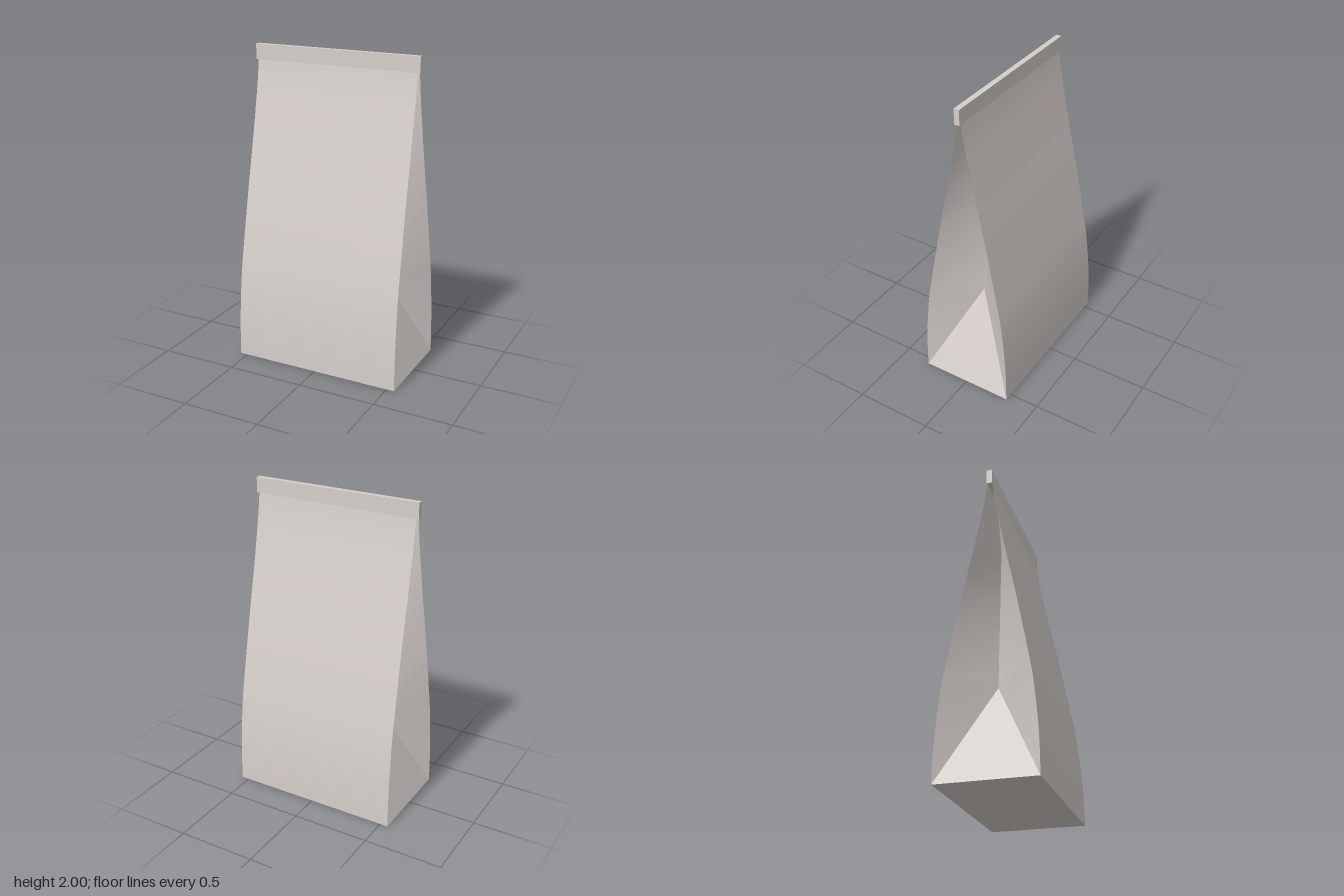
import * as THREE from 'three';
import { toCreasedNormals } from 'three/addons/utils/BufferGeometryUtils.js';

const FOLD_Y = 0.62;   // height of the gusset's fold point
const FOLD_IN = 0.23;  // how far that point is pushed in
const TOP_Y = 1.95;
const DEPTH = 0.305;

// half depth of the bag, every 0.2 units of height
const depthCurve = new THREE.SplineCurve(
  [0.305, 0.301, 0.287, 0.264, 0.228, 0.19, 0.15, 0.107, 0.067, 0.03, 0.006]
    .map((z, i) => new THREE.Vector2(z, i * 0.2)));

// eight points around the bag at height y, anticlockwise from above
function ring(y) {
  const low = Math.min(y / FOLD_Y, 1);
  const high = Math.max((y - FOLD_Y) / (TOP_Y - FOLD_Y), 0);
  const x = 0.55 - 0.018 * THREE.MathUtils.smoothstep(y, 0, 1.9);
  const z = depthCurve.getPoint(y / 2).x;
  const foldX = 0.55 - FOLD_IN * low - 0.06 * high;
  const foldZ = DEPTH * (1 - low);
  return [[-x, z], [x, z], [foldX, foldZ], [foldX, -foldZ],
    [x, -z], [-x, -z], [-foldX, -foldZ], [-foldX, foldZ]]
    .map(([px, pz]) => new THREE.Vector3(px, y, pz));
}

function bagGeometry() {
  const positions = [];
  const tri = (a, b, c) => {
    // skip triangles that collapse where folds meet
    if (new THREE.Triangle(a, b, c).getArea() < 1e-7) return;
    for (const p of [a, b, c]) positions.push(p.x, p.y, p.z);
  };

  const rings = [];
  for (let i = 0; i < 10; i++) rings.push(ring(FOLD_Y * i / 10));
  for (let i = 0; i <= 20; i++) rings.push(ring(FOLD_Y + (TOP_Y - FOLD_Y) * i / 20));

  // walls and gussets
  for (let i = 0; i < rings.length - 1; i++) {
    for (let k = 0; k < 8; k++) {
      const n = (k + 1) % 8;
      const [a, b, c, d] = [rings[i][k], rings[i][n], rings[i + 1][n], rings[i + 1][k]];
      tri(a, b, c);
      tri(a, c, d);
    }
  }
  // flat base
  const base = rings[0];
  tri(base[0], base[4], base[1]);
  tri(base[0], base[5], base[4]);

  const geometry = new THREE.BufferGeometry();
  geometry.setAttribute('position', new THREE.Float32BufferAttribute(positions, 3));
  return toCreasedNormals(geometry, 0.6);
}

export function createModel() {
  const group = new THREE.Group();
  group.name = 'paperBag';
  const paper = new THREE.MeshStandardMaterial({ color: 0xd6cfcb });
  paper.name = 'warm grey paper';

  const body = new THREE.Mesh(bagGeometry(), paper);
  body.name = 'gussetedBag';
  group.add(body);

  // folded strip closing the top
  const strip = new THREE.Mesh(new THREE.BoxGeometry(1.094, 0.096, 0.034), paper);
  strip.name = 'topClosure';
  strip.position.y = 1.952;
  group.add(strip);

  return group;
}
